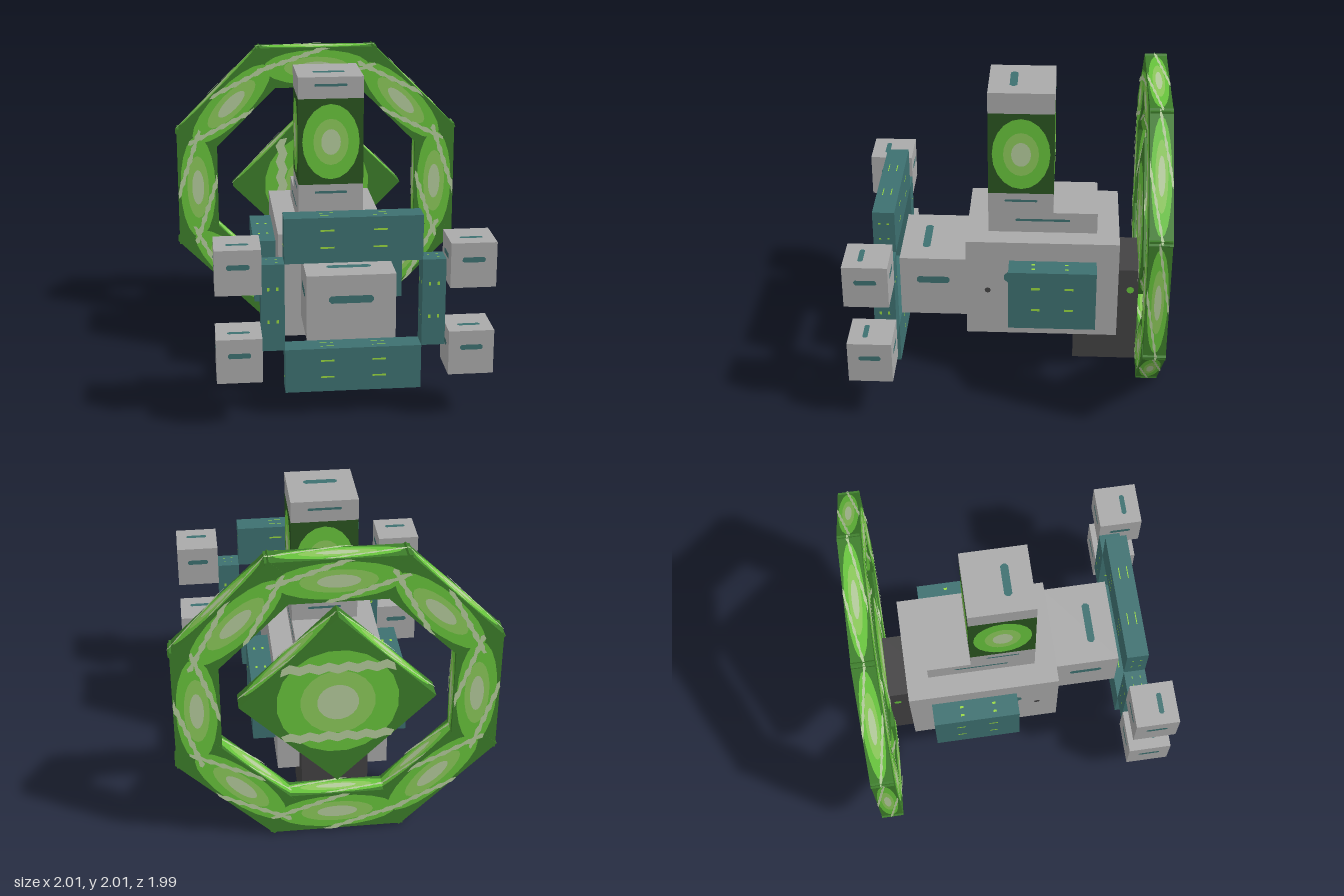
import * as THREE from 'three';

const mat = (name, color) => {
  const m = new THREE.MeshStandardMaterial({ color });
  m.name = name;
  return m;
};

export function createModel() {
  const root = new THREE.Group();
  root.name = 'ringBackedRobot';
  const gray = mat('bodyGray', 0xa9a9a9);
  const teal = mat('frameTeal', 0x3d7070);
  const charcoal = mat('baseCharcoal', 0x434243);
  const forest = mat('ringForestGreen', 0x3d7e2a);
  const deep = mat('neckDeepGreen', 0x2a5520);
  const green = mat('glowGreen', 0x68c43c);
  const light = mat('glowLightGreen', 0x8cc95a);
  const pale = mat('glowPale', 0xb4cb9c);
  const lime = mat('markLime', 0x98d840);

  // Box between two corners; returns a group so marks can sit on its faces
  function box(name, material, x0, x1, y0, y1, z0, z1) {
    const g = new THREE.Group();
    g.name = name;
    g.position.set((x0 + x1) / 2, (y0 + y1) / 2, (z0 + z1) / 2);
    g.userData.size = [x1 - x0, y1 - y0, z1 - z0];
    const m = new THREE.Mesh(new THREE.BoxGeometry(...g.userData.size), material);
    m.name = name + 'Block';
    g.add(m);
    root.add(g);
    return g;
  }

  // Calls paint(faceGroup, width, height) on each chosen face of a box
  const ALL = ['front', 'back', 'right', 'left', 'top', 'bottom'];
  function onFaces(g, faces, paint) {
    const [w, h, d] = g.userData.size;
    const table = {
      front: [0, 0, 0, w, h, d], back: [0, Math.PI, 0, w, h, d],
      left: [0, Math.PI / 2, 0, d, h, w], right: [0, -Math.PI / 2, 0, d, h, w],
      top: [-Math.PI / 2, 0, Math.PI, w, d, h], bottom: [Math.PI / 2, 0, 0, w, d, h],
    };
    for (const f of faces) {
      const [rx, ry, rz, fw, fh, depth] = table[f];
      const face = new THREE.Group();
      face.name = f + 'Face';
      face.rotation.set(rx, ry, rz);
      face.position.set(0, 0, depth / 2).applyEuler(face.rotation);
      paint(face, fw, fh);
      g.add(face);
    }
  }

  function plate(face, name, geometry, material, x, y, layer) {
    const m = new THREE.Mesh(geometry, material);
    m.name = name;
    m.position.set(x, y, layer * 0.002);
    face.add(m);
    return m;
  }

  // Rounded slot slightly above the middle of a face
  function slot(face, w, h) {
    const a = w / 4, b = h * 0.058, r = Math.min(b, a) * 0.6;
    const s = new THREE.Shape([
      [-a + r, -b], [a - r, -b], [a, -b + r], [a, b - r],
      [a - r, b], [-a + r, b], [-a, b - r], [-a, -b + r],
    ].map(p => new THREE.Vector2(...p)));
    plate(face, 'slot', new THREE.ShapeGeometry(s), teal, 0, h * 0.125, 1);
  }

  // Four small lights
  function marks(face, w, h) {
    for (const u of [-0.19, 0.19]) for (const v of [0.22, -0.16])
      plate(face, 'light', new THREE.PlaneGeometry(w * 0.1, h * 0.04), lime, u * w, v * h, 1);
  }

  // Concentric glowing ovals
  function glow(face, w, h) {
    [[0.44, green], [0.27, light], [0.15, pale]].forEach(([r, m], i) => {
      plate(face, 'glow', new THREE.CircleGeometry(r, 20), m, 0, 0, i + 1).scale.set(w, h, 1);
    });
  }

  // Two zigzag bands running parallel to the face diagonal
  const clamp = v => Math.max(-0.5, Math.min(0.5, v));
  function zigzag(face, w, h, flip) {
    for (const off of [0.42, -0.42]) {
      const upper = [], lower = [], n = 12, hw = 0.026;
      for (let i = 0; i <= n; i++) {
        const t = (i / n) * 0.58 - (off > 0 ? 0.5 : 0.08);
        const j = i % 2 ? 0.009 : -0.009;
        const at = k => new THREE.Vector2(
          clamp(t - k - j) * w, clamp(t + off + k + j) * h * flip);
        upper.push(at(hw));
        lower.push(at(-hw));
      }
      const s = new THREE.Shape([...lower, ...upper.reverse()]);
      plate(face, 'zigzag', new THREE.ShapeGeometry(s), pale, 0, 0, 4);
    }
  }
  const energy = flip => (face, w, h) => {
    glow(face, w, h);
    zigzag(face, w, h, flip);
  };

  // Body, snout and collar
  const body = box('body', gray, -0.355, 0.35, 0.3, 1.0, -0.71, 0.28);
  const snout = box('snout', gray, -0.21, 0.35, 0.44, 0.865, 0.28, 0.71);
  const collar = box('collar', gray, -0.21, 0.21, 1.0, 1.145, -0.565, 0.14);
  const neck = box('neck', gray, -0.21, 0.21, 1.145, 1.285, -0.28, 0.14);
  for (const g of [body, snout, collar, neck]) onFaces(g, ALL, slot);
  onFaces(body, ['left', 'right'], face => {
    const side = face.name === 'rightFace' ? 1 : -1;
    plate(face, 'rivet', new THREE.CircleGeometry(0.02, 8), charcoal, side * 0.355, -0.015, 1);
  });

  // Glowing tower and its cap
  const tower = box('tower', deep, -0.21, 0.21, 1.285, 1.85, -0.28, 0.14);
  onFaces(tower, ['front', 'back', 'left', 'right'], glow);
  const cap = box('cap', gray, -0.21, 0.21, 1.85, 1.99, -0.28, 0.14);
  onFaces(cap, ['front', 'back', 'top'], slot);

  // Rear foot
  const foot = box('rearFoot', charcoal, -0.21, 0.21, 0.015, 0.72, -0.85, -0.425);
  onFaces(foot, ['left', 'right'], face => {
    const side = face.name === 'rightFace' ? -1 : 1;
    plate(face, 'footLight', new THREE.CircleGeometry(0.026, 8), green, side * 0.16, 0.2, 1);
  });

  // Side plates and front frame
  for (const panel of [
    box('leftSidePlate', teal, 0.35, 0.495, 0.44, 0.865, -0.565, 0),
    box('rightSidePlate', teal, -0.5, -0.355, 0.44, 0.865, -0.565, 0),
    box('frameTop', teal, -0.355, 0.49, 1.0, 1.285, 0.71, 0.85),
    box('frameBottom', teal, -0.355, 0.49, 0.155, 0.44, 0.71, 0.85),
    box('frameRight', teal, -0.5, -0.355, 0.44, 1.0, 0.71, 0.85),
    box('frameLeft', teal, 0.49, 0.635, 0.44, 1.0, 0.71, 0.85),
  ]) onFaces(panel, ALL, marks);

  // Four corner cubes
  for (const x of [-0.78, 0.635]) for (const y of [0.297, 0.862])
    onFaces(box('cornerCube', gray, x, x + 0.28, y, y + 0.283, 0.71, 0.99), ALL, slot);

  // Eight-sided ring
  for (let i = 0; i < 8; i++) {
    const a = (i * Math.PI) / 4, d = i % 2 ? 0.0715 : 0.07;
    const bar = box('ringBar', forest, -0.425, 0.425, -0.1415, 0.1415, -d, d);
    bar.position.set(-Math.sin(a) * 0.85, 1 + Math.cos(a) * 0.85, -0.92);
    bar.rotation.z = a;
    onFaces(bar, ['front', 'back', 'top', 'bottom'], energy(i > 0 && i < 4 ? -1 : 1));
  }

  // Diamond core in the middle of the ring
  const core = box('ringCore', forest, -0.425, 0.425, -0.425, 0.425, -0.07, 0.07);
  core.position.set(0, 1, -0.92);
  core.rotation.z = Math.PI / 4;
  onFaces(core, ALL, energy(1));

  return root;
}
